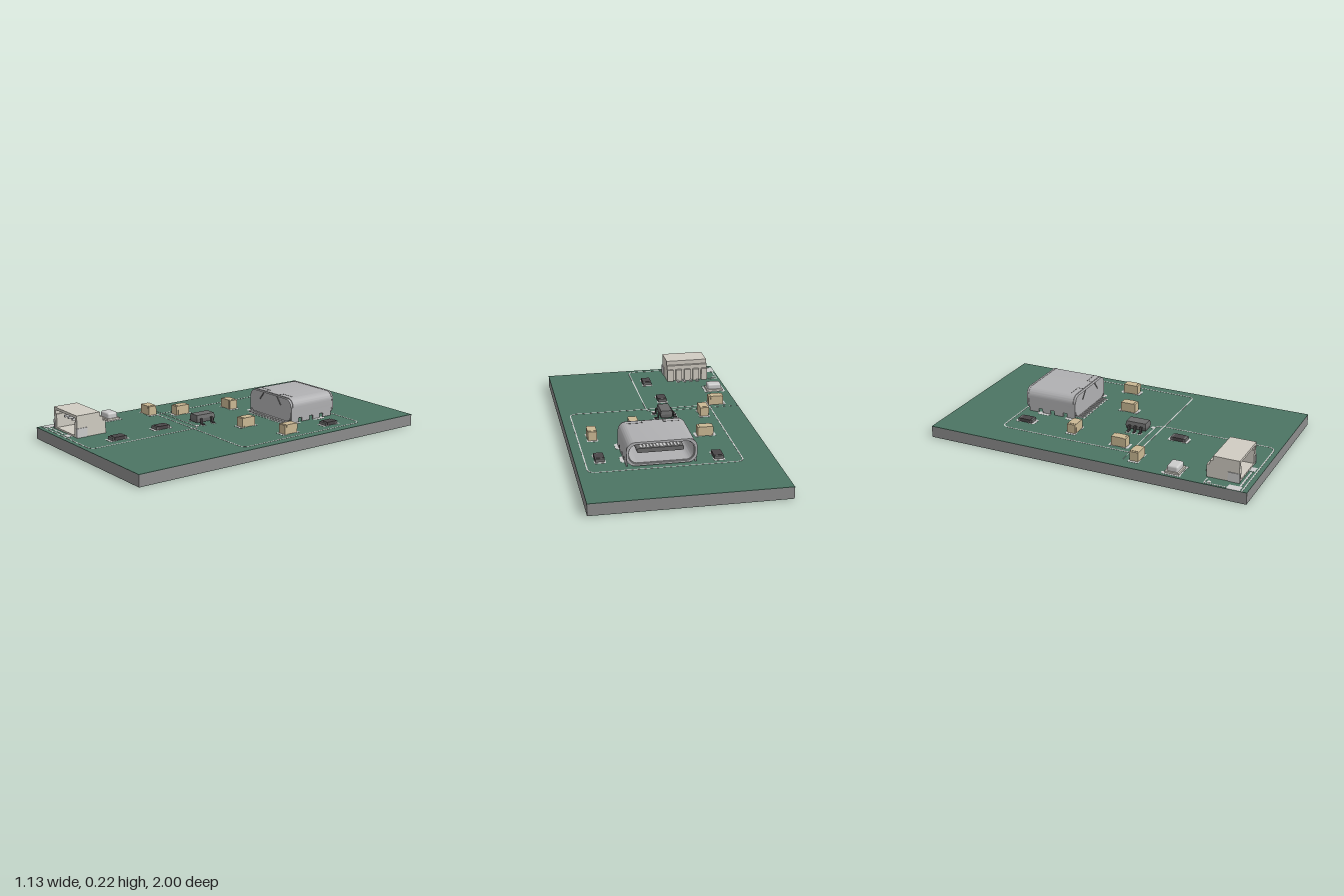
import * as THREE from 'three';
import { RoundedBoxGeometry } from 'three/addons/geometries/RoundedBoxGeometry.js';
import { toCreasedNormals } from 'three/addons/utils/BufferGeometryUtils.js';

const mat = (color) => new THREE.MeshStandardMaterial({ color });
const grey = mat(0xcccccc), metal = mat(0xb0b0b2), mask = mat(0x4c7463), core = mat(0x8c8c8c);
const ivory = mat(0xd0ccc2), black = mat(0x4a4648), chip = mat(0x6c6c6c), tan = mat(0xcbb994);
const TOP = 0.072;

function add(parent, name, geo, material, x = 0, y = 0, z = 0) {
  const m = new THREE.Mesh(geo, material);
  m.name = name;
  m.position.set(x, y, z);
  parent.add(m);
  return m;
}

// Box given by its limits on each axis
function span(parent, name, material, x0, x1, y0, y1, z0, z1) {
  return add(parent, name, new THREE.BoxGeometry(x1 - x0, y1 - y0, z1 - z0), material,
    (x0 + x1) / 2, (y0 + y1) / 2, (z0 + z1) / 2);
}

function group(parent, name, x = 0, z = 0) {
  const g = new THREE.Group();
  g.name = name;
  g.position.set(x, 0, z);
  parent.add(g);
  return g;
}

function roundRect(x0, x1, y0, y1, r, C = THREE.Shape) {
  const s = new C();
  s.moveTo(x0 + r, y0);
  s.absarc(x1 - r, y0 + r, r, -Math.PI / 2, 0, false);
  s.absarc(x1 - r, y1 - r, r, 0, Math.PI / 2, false);
  s.absarc(x0 + r, y1 - r, r, Math.PI / 2, Math.PI, false);
  s.absarc(x0 + r, y0 + r, r, Math.PI, Math.PI * 1.5, false);
  return s;
}

const extrude = (shape, depth) => toCreasedNormals(
  new THREE.ExtrudeGeometry(shape, { depth, bevelEnabled: false, curveSegments: 10 }), 0.6);

// Flat printed layer: shape drawn in x and z, its upper face at height y
function layer(parent, name, shape, material, y = TOP + 0.001, depth = 0.002) {
  return add(parent, name, extrude(shape, depth).rotateX(Math.PI / 2), material, 0, y, 0);
}

function board(root) {
  const g = group(root, 'circuitBoard');
  span(g, 'boardCore', core, -0.565, 0.562, 0.003, 0.069, -1, 1);
  span(g, 'topMask', mask, -0.565, 0.562, 0.069, TOP, -1, 1);
  span(g, 'bottomMask', mask, -0.565, 0.562, 0.001, 0.003, -1, 1);

  // Printed outlines
  const frame = roundRect(-0.387, 0.507, -0.622, 0.272, 0.045);
  frame.holes.push(roundRect(-0.38, 0.5, -0.615, 0.265, 0.038, THREE.Path));
  layer(g, 'largeOutline', frame, grey);
  const l = new THREE.Shape();
  l.moveTo(-0.565, 0.222);
  l.absarc(-0.022, 0.267, 0.045, -Math.PI / 2, 0, false);
  l.absarc(-0.022, 0.927, 0.045, 0, Math.PI / 2, false);
  l.lineTo(-0.565, 0.972);
  l.lineTo(-0.565, 0.965);
  l.absarc(-0.022, 0.927, 0.038, Math.PI / 2, 0, true);
  l.absarc(-0.022, 0.267, 0.038, 0, -Math.PI / 2, true);
  l.lineTo(-0.565, 0.229);
  layer(g, 'smallOutline', l, grey);
  for (const [x, z, r] of [[-0.02, 0.215, 0.013], [-0.53, 0.77, 0.012], [-0.53, 0.495, 0.008]])
    add(g, 'printedDot', new THREE.CylinderGeometry(r, r, 0.002, 16), grey, x, TOP, z);

  // Soldered slots and locating holes seen from below
  for (const x of [-0.117, 0.287]) for (const z of [-0.475, -0.285]) {
    layer(g, 'bottomSlotPad', roundRect(x - 0.016, x + 0.016, z - 0.03, z + 0.03, 0.015), grey, 0.002);
    layer(g, 'slotLeg', roundRect(x - 0.006, x + 0.006, z - 0.02, z + 0.02, 0.005), core, 0.001, 0.001);
    layer(g, 'topSlotPad', roundRect(x - 0.018, x + 0.018, z - 0.042, z + 0.042, 0.017), grey);
  }
  for (const x of [-0.045, 0.215])
    add(g, 'locatingHole', new THREE.CylinderGeometry(0.01, 0.01, 0.002, 16), grey, x, 0.001, -0.31);
}

// Two-terminal part lying along z, turned by a quarter when sideways
function passive(root, name, x, z, h, body, sideways) {
  const g = group(root, name, x, z);
  if (sideways) g.rotation.y = Math.PI / 2;
  for (const s of [-1, 1]) {
    const pad = layer(g, 'pad', roundRect(-0.033, 0.033, -0.022, 0.022, 0.008), grey);
    pad.position.z = s * 0.042;
    add(g, 'terminal', new THREE.BoxGeometry(0.053, h - 0.002, 0.014), body === tan ? tan : chip,
      0, TOP + h / 2, s * 0.04);
  }
  add(g, 'body', new THREE.BoxGeometry(0.055, h, 0.068), body, 0, TOP + 0.001 + h / 2, 0);
}

function regulator(root) {
  const g = group(root, 'regulatorChip', -0.073, 0.14);
  // Moulded body with drafted sides
  const geo = new THREE.BoxGeometry(0.076, 0.046, 0.132, 1, 2, 1);
  const p = geo.attributes.position;
  for (let i = 0; i < p.count; i++) if (Math.abs(p.getY(i)) > 0.01) {
    p.setX(i, p.getX(i) * 0.88);
    p.setZ(i, p.getZ(i) * 0.94);
  }
  const flat = geo.toNonIndexed();
  flat.computeVertexNormals();
  add(g, 'body', flat, chip, 0, 0.105, 0);
  for (const [s, z] of [[-1, -0.038], [-1, 0], [-1, 0.038], [1, -0.038], [1, 0.038]]) {
    const leg = group(g, 'leg', 0, z);
    span(leg, 'pad', grey, s * 0.062 - 0.015, s * 0.062 + 0.015, TOP, TOP + 0.001, -0.012, 0.012);
    add(leg, 'foot', new THREE.BoxGeometry(0.022, 0.006, 0.015), black, s * 0.058, 0.077, 0);
    add(leg, 'riser', new THREE.BoxGeometry(0.006, 0.032, 0.015), black, s * 0.048, 0.09, 0);
    add(leg, 'shoulder', new THREE.BoxGeometry(0.016, 0.006, 0.015), black, s * 0.041, 0.105, 0);
  }
}

function sensor(root) {
  const g = group(root, 'pressureSensor', -0.48, 0.55);
  for (const s of [-1, 1]) {
    span(g, 'padRow', grey, s * 0.057 - 0.009, s * 0.057 + 0.009, TOP, TOP + 0.001, -0.055, 0.055);
    span(g, 'outlineBar', grey, -0.055, 0.055, TOP, TOP + 0.001, s * 0.048 - 0.003, s * 0.048 + 0.003);
  }
  add(g, 'base', new THREE.BoxGeometry(0.105, 0.012, 0.085), ivory, 0, 0.078, 0);
  add(g, 'metalLid', new RoundedBoxGeometry(0.09, 0.044, 0.068, 3, 0.012), grey, 0, 0.096, 0);
}

function usbSocket(root) {
  const g = group(root, 'chargingSocket', 0.085, 0);
  // Rolled shell, open at the back of the board
  const shell = roundRect(-0.2, 0.2, 0.083, 0.221, 0.05);
  shell.holes.push(roundRect(-0.184, 0.184, 0.096, 0.206, 0.046, THREE.Path));
  add(g, 'shell', extrude(shell, 0.31), metal, 0, 0, -0.585);
  const lip = roundRect(-0.202, 0.202, 0.081, 0.223, 0.052);
  lip.holes.push(roundRect(-0.188, 0.188, 0.092, 0.21, 0.05, THREE.Path));
  add(g, 'mouthLip', extrude(lip, 0.012), metal, 0, 0, -0.595);
  add(g, 'rearPlate', extrude(roundRect(-0.196, 0.196, 0.079, 0.216, 0.045), 0.07), metal, 0, 0, -0.33);
  add(g, 'tongue', extrude(roundRect(-0.135, 0.135, 0.139, 0.165, 0.01), 0.22), chip, 0, 0, -0.55);
  for (let i = 0; i < 12; i++) {
    const x = (i - 5.5) * 0.0195;
    span(g, 'tongueContact', grey, x - 0.005, x + 0.005, 0.137, 0.167, -0.54, -0.34);
  }
  for (const s of [-1, 1]) {
    // Side skirts with legs that drop into the board
    span(g, 'sideSkirt', metal, s * 0.196 - 0.004, s * 0.196 + 0.004, 0.1, 0.17, -0.58, -0.262);
    for (const [z, w] of [[-0.54, 0.038], [-0.455, 0.032], [-0.37, 0.036], [-0.285, 0.032]])
      span(g, 'sideLeg', metal, s * 0.196 - 0.004, s * 0.196 + 0.004, 0.075, 0.13, z - w, z + w * 0.7);
    // Folded corner latches on the closed end
    const slit = add(g, 'latchSlit', new THREE.BoxGeometry(0.008, 0.06, 0.004), chip, s * 0.082, 0.191, -0.259);
    slit.rotation.z = s * 0.68;
    span(g, 'topSlot', chip, s * 0.11 - 0.045, s * 0.11 + 0.045, 0.219, 0.222, -0.313, -0.309);
    span(g, 'slotEnd', chip, s * 0.063 - 0.003, s * 0.063 + 0.003, 0.219, 0.222, -0.311, -0.276);
  }
  // Solder tails on their pads
  for (let i = 0; i < 12; i++) {
    const x = (i - 5.5) * 0.028;
    span(g, 'tail', grey, x - 0.006, x + 0.006, 0.073, 0.08, -0.28, -0.228);
    span(g, 'tailPad', grey, x - 0.01, x + 0.01, TOP, TOP + 0.001, -0.28, -0.216);
  }
}

function plugHeader(root) {
  const g = group(root, 'plugHeader', -0.345, 0);
  // Housing with a notched cavity facing the front
  const outer = new THREE.Shape([[-0.135, 0.074], [0.135, 0.074], [0.135, 0.206], [-0.135, 0.206]]
    .map((p) => new THREE.Vector2(...p)));
  outer.holes.push(new THREE.Path([[-0.105, 0.084], [0.105, 0.084], [0.105, 0.165], [0.117, 0.165],
    [0.117, 0.19], [-0.117, 0.19], [-0.117, 0.165], [-0.105, 0.165]].map((p) => new THREE.Vector2(...p))));
  add(g, 'housing', extrude(outer, 0.13), ivory, 0, 0, 0.795);
  // Stepped rear wall
  span(g, 'rearWall', ivory, -0.135, 0.135, 0.074, 0.206, 0.77, 0.797);
  span(g, 'rearStep', ivory, -0.135, 0.135, 0.074, 0.178, 0.752, 0.771);
  for (let i = 0; i < 5; i++) {
    const x = (i - 2) * 0.0575;
    span(g, 'rearRib', ivory, x - 0.02, x + 0.02, 0.074, 0.152, 0.735, 0.753);
  }
  for (let i = 0; i < 4; i++) {
    const x = (i - 1.5) * 0.0445;
    span(g, 'pin', grey, x - 0.006, x + 0.006, 0.15, 0.163, 0.795, 0.895);
    span(g, 'pinTail', grey, x - 0.006, x + 0.006, 0.073, 0.081, 0.71, 0.76);
    span(g, 'pinPad', grey, x - 0.012, x + 0.012, TOP, TOP + 0.001, 0.712, 0.77);
  }
  for (const s of [-1, 1])
    span(g, 'sideAnchor', grey, s * 0.132 - 0.007, s * 0.132 + 0.007, 0.074, 0.13, 0.86, 0.928);
  // Anchor pads and printed bracket
  span(g, 'anchorPad', grey, -0.22, -0.168, TOP, TOP + 0.001, 0.88, 0.958);
  span(g, 'anchorPad', grey, 0.03, 0.08, TOP, TOP + 0.001, 0.92, 0.958);
  span(g, 'bracketSide', grey, -0.207, -0.2, TOP, TOP + 0.001, 0.75, 0.88);
  span(g, 'bracketTop', grey, -0.207, -0.15, TOP, TOP + 0.001, 0.743, 0.75);
  span(g, 'bracketFront', grey, -0.165, 0.02, TOP, TOP + 0.001, 0.938, 0.948);
}

export function createModel() {
  const root = new THREE.Group();
  root.name = 'sensorBoard';
  board(root);
  for (const [x, z] of [[-0.25, -0.52], [0.42, -0.44], [-0.105, 0.42], [-0.065, 0.745]])
    passive(root, 'resistor', x, z, 0.02, black, false);
  for (const [x, z, sideways] of [[-0.25, -0.195, true], [-0.43, 0.295, true], [0.42, -0.125, false],
    [0.153, -0.02, false], [-0.315, 0.135, false]])
    passive(root, 'capacitor', x, z, 0.057, tan, sideways);
  regulator(root);
  sensor(root);
  usbSocket(root);
  plugHeader(root);
  return root;
}
